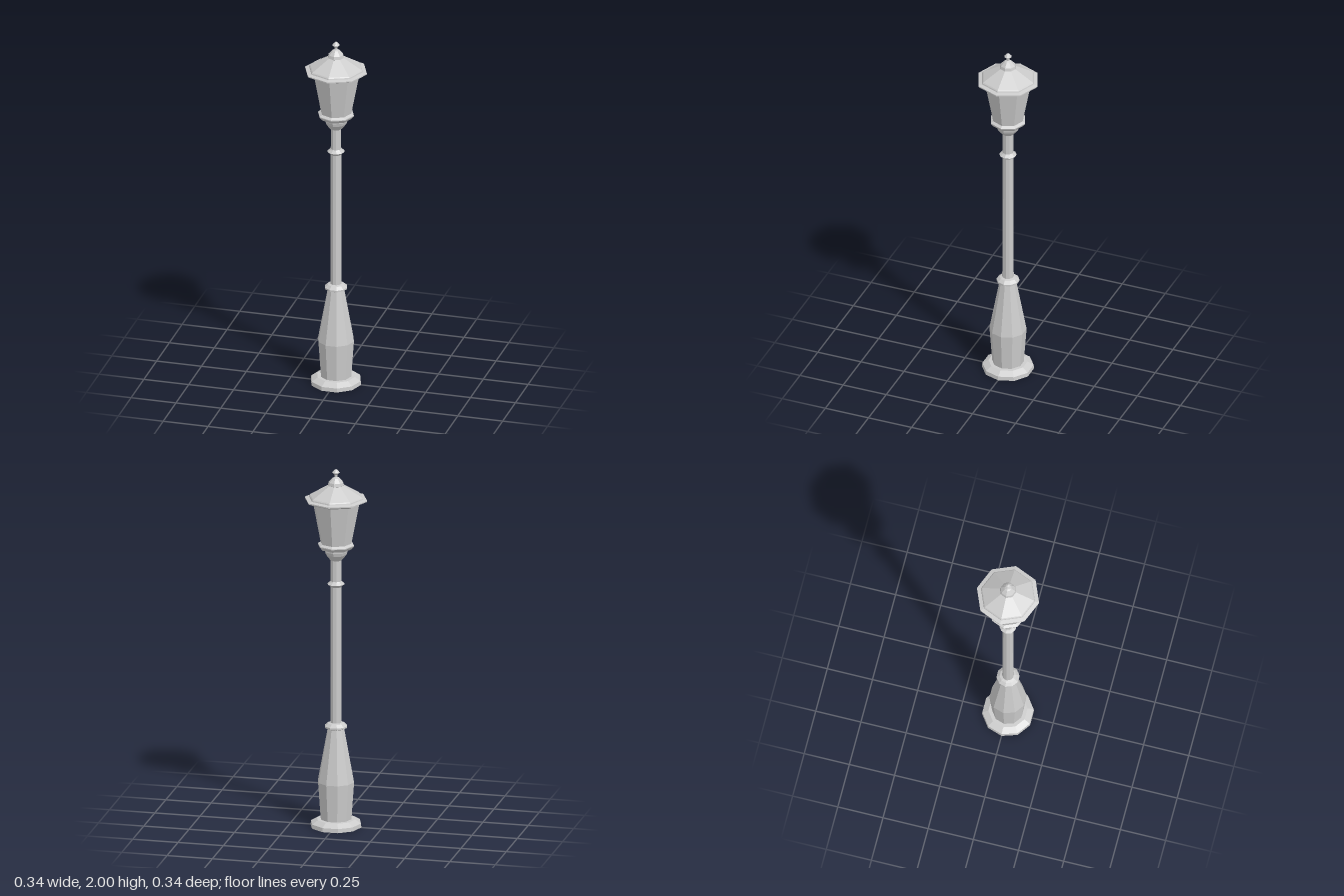
import * as THREE from 'three';

const material = new THREE.MeshStandardMaterial({ color: 0xcccccc, flatShading: true });

// Faceted turned part: profile of [radius, height] pairs from bottom to top
function turned(name, sides, profile, startAngle) {
  const points = profile.map(([r, y]) => new THREE.Vector2(r, y));
  const mesh = new THREE.Mesh(new THREE.LatheGeometry(points, sides, startAngle), material);
  mesh.name = name;
  return mesh;
}

// Ten-sided post parts have corners on the x axis
const post = (name, profile) => turned(name, 10, profile, Math.PI / 2);
// Eight-sided lantern parts have corners on both axes
const lamp = (name, profile) => turned(name, 8, profile, 0);

export function createModel() {
  const model = new THREE.Group();
  model.name = 'streetLamp';

  // Post, from the ground up
  const column = new THREE.Group();
  column.name = 'post';
  column.add(
    post('foot', [[0, 0], [0.14, 0], [0.138, 0.022], [0.105, 0.042], [0, 0.045]]),
    post('pedestal', [[0.085, 0.04], [0.1, 0.25], [0.045, 0.55]]),
    post('pedestalCollar', [[0.04, 0.543], [0.062, 0.553], [0.062, 0.562], [0.045, 0.577], [0.028, 0.582]]),
    post('pole', [[0.031, 0.57], [0.029, 1.5]]),
    post('poleRing', [[0.028, 1.338], [0.034, 1.345], [0.047, 1.356], [0.034, 1.367], [0.028, 1.374]])
  );

  // Lantern
  const lantern = new THREE.Group();
  lantern.name = 'lantern';
  lantern.add(
    lamp('lanternCup', [[0, 1.488], [0.032, 1.49], [0.058, 1.522], [0.064, 1.54], [0.064, 1.56]]),
    lamp('lanternTray', [[0, 1.553], [0.085, 1.554], [0.1, 1.572], [0.1, 1.577], [0.084, 1.587], [0, 1.587]]),
    lamp('lanternGlass', [[0.084, 1.58], [0.13, 1.818]]),
    lamp('roof', [
      [0, 1.812], [0.14, 1.812], [0.172, 1.826], [0.172, 1.832], [0.15, 1.837],
      [0.148, 1.843], [0.143, 1.848], [0.04, 1.91]
    ]),
    lamp('roofCap', [[0.036, 1.902], [0.045, 1.909], [0.041, 1.925], [0.02, 1.948], [0.008, 1.955]]),
    lamp('finial', [[0.008, 1.95], [0.008, 1.966], [0.021, 1.979], [0.012, 1.99], [0, 2]])
  );

  model.add(column, lantern);
  return model;
}
